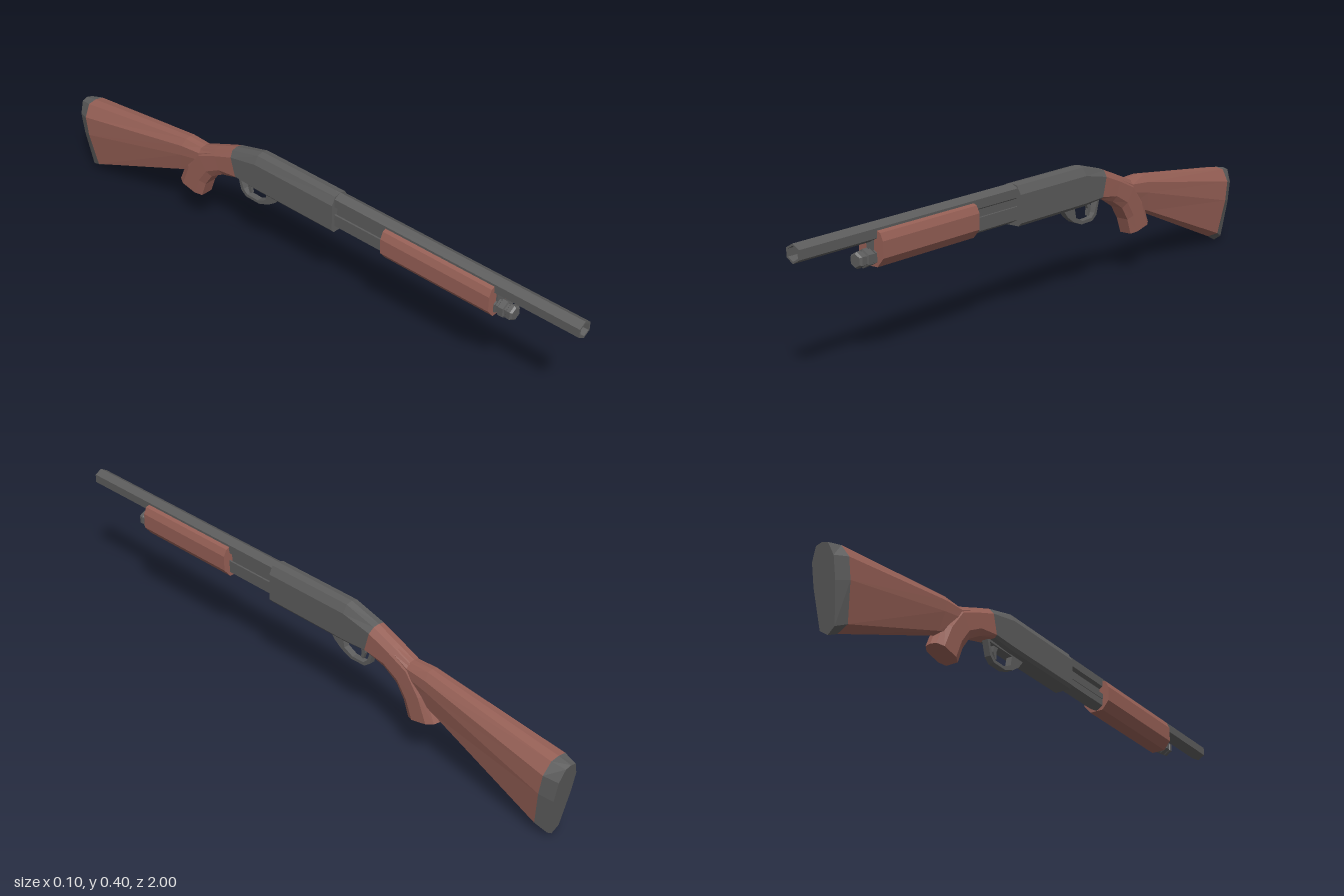
import * as THREE from 'three';

const steel = new THREE.MeshStandardMaterial({ color: 0x5c5c5c, flatShading: true });
const wood = new THREE.MeshStandardMaterial({ color: 0x955f55, flatShading: true });

// A ring from a bottom point and a top point [z, y], a half width, and a half
// profile of [width fraction, height fraction] listed from bottom to top.
function ring([bz, by], [tz, ty], w, profile) {
  const at = (s, [u, t]) => [s * u * w, by + (ty - by) * t, bz + (tz - bz) * t];
  const right = profile.map(p => at(1, p));
  const left = profile.filter(p => p[0] > 0).reverse().map(p => at(-1, p));
  return [...right, ...left];
}

// Closed, capped skin over a list of rings, with faces turned outward.
function loft(rings) {
  const n = rings[0].length, last = (rings.length - 1) * n;
  const pos = rings.flat(2), index = [];
  for (let r = 0; r < rings.length - 1; r++) {
    for (let i = 0; i < n; i++) {
      const a = r * n + i, b = r * n + (i + 1) % n;
      index.push(a, b, b + n, a, b + n, a + n);
    }
  }
  for (let i = 1; i < n - 1; i++) index.push(0, i + 1, i, last, last + i, last + i + 1);
  const v = i => new THREE.Vector3().fromArray(pos, index[i] * 3);
  let volume = 0;
  for (let i = 0; i < index.length; i += 3) volume += v(i).dot(v(i + 1).cross(v(i + 2)));
  if (volume < 0) index.reverse();
  const g = new THREE.BufferGeometry();
  g.setAttribute('position', new THREE.Float32BufferAttribute(pos, 3));
  g.setIndex(index);
  g.computeVertexNormals();
  return g;
}

// Six-sided turned part along z, from [radius, z] pairs.
function hexTube(points, y) {
  const g = new THREE.LatheGeometry(points.map(p => new THREE.Vector2(...p)), 6);
  return g.rotateX(Math.PI / 2).translate(0, y, 0);
}

// Side outline of [z, y] points, extruded across x.
function sidePlate(outline, width, hole) {
  const pts = list => list.map(([z, y]) => new THREE.Vector2(-z, y));
  const shape = new THREE.Shape(pts(outline));
  if (hole) shape.holes.push(new THREE.Path(pts(hole)));
  const g = new THREE.ExtrudeGeometry(shape, { depth: width, bevelEnabled: false });
  return g.translate(0, 0, -width / 2).rotateY(Math.PI / 2);
}

export function createModel() {
  const model = new THREE.Group();
  const add = (name, geometry, material) => {
    const mesh = new THREE.Mesh(geometry, material);
    mesh.name = name;
    model.add(mesh);
  };

  // Barrel with an open muzzle
  add('barrel', hexTube([[0.027, 0.12], [0.027, 1], [0.021, 1], [0.021, 0.95], [0, 0.95]], 0.374), steel);

  // Magazine tube with a grooved end cap
  add('magazineTube', hexTube([[0.026, 0.12], [0.026, 0.725], [0, 0.725]], 0.307), steel);
  add('magazineCap', hexTube([[0.022, 0.715], [0.022, 0.732], [0.027, 0.735], [0.027, 0.752],
    [0.021, 0.754], [0.021, 0.76], [0.024, 0.762], [0.024, 0.774], [0.019, 0.78], [0, 0.78]], 0.307), steel);

  // Rib and action bars between barrel and magazine
  add('rib', new THREE.BoxGeometry(0.024, 0.05, 0.605).translate(0, 0.34, 0.4225), steel);
  for (const s of [-1, 1]) {
    add(s > 0 ? 'leftActionBar' : 'rightActionBar',
      new THREE.BoxGeometry(0.006, 0.018, 0.24).translate(s * 0.0215, 0.325, 0.23), steel);
  }

  // Sliding fore-end
  const foreProfile = [[0.5, 0], [1, 0.27], [1, 0.74], [0.78, 0.95], [0.5, 1]];
  add('foreEnd', loft([0.33, 0.72].map(z => ring([z, 0.28], [z, 0.381], 0.045, foreProfile))), wood);

  // Receiver, sloping down at the rear
  const bodyProfile = [[0.75, 0], [1, 0.08], [1, 0.76], [0.6, 0.96], [0, 1]];
  add('receiver', loft([
    ring([0.135, 0.274], [0.135, 0.4], 0.035, bodyProfile),
    ring([-0.18, 0.274], [-0.18, 0.4], 0.035, bodyProfile),
    ring([-0.265, 0.28], [-0.29, 0.37], 0.034, bodyProfile),
  ]), steel);

  // Trigger guard and trigger
  add('triggerGuard', sidePlate(
    [[-0.095, 0.278], [-0.12, 0.248], [-0.15, 0.227], [-0.19, 0.212], [-0.245, 0.213],
      [-0.265, 0.228], [-0.282, 0.285]], 0.02,
    [[-0.155, 0.27], [-0.162, 0.238], [-0.195, 0.222], [-0.24, 0.223], [-0.255, 0.236], [-0.268, 0.272]]), steel);
  add('trigger', sidePlate([[-0.215, 0.28], [-0.228, 0.255], [-0.226, 0.232], [-0.234, 0.23],
    [-0.242, 0.252], [-0.24, 0.28]], 0.01), steel);

  // Wrist curving down into the pistol grip
  const gripProfile = [[0.65, 0], [1, 0.22], [1, 0.75], [0.6, 0.96], [0, 1]];
  add('grip', loft([
    ring([-0.265, 0.28], [-0.29, 0.37], 0.034, bodyProfile),
    ring([-0.335, 0.258], [-0.365, 0.341], 0.033, gripProfile),
    ring([-0.385, 0.228], [-0.445, 0.308], 0.033, gripProfile),
    ring([-0.415, 0.185], [-0.5, 0.235], 0.032, gripProfile),
    ring([-0.434, 0.134], [-0.536, 0.155], 0.031, gripProfile),
  ]), wood);

  // Shoulder stock, widening to the rear
  const stockProfile = [[0, 0], [0.68, 0.07], [1, 0.55], [1, 0.82], [0.55, 0.98], [0, 1]];
  const stockEnd = ring([-0.92, 0.021], [-0.957, 0.259], 0.052, stockProfile);
  add('stock', loft([
    ring([-0.38, 0.25], [-0.38, 0.334], 0.028, stockProfile),
    ring([-0.43, 0.22], [-0.43, 0.314], 0.03, stockProfile),
    ring([-0.53, 0.182], [-0.5, 0.316], 0.033, stockProfile),
    stockEnd,
  ]), wood);

  // Butt pad
  add('buttPad', loft([
    stockEnd,
    ring([-0.957, 0.002], [-1, 0.251], 0.036, stockProfile),
  ]), steel);

  return model;
}
